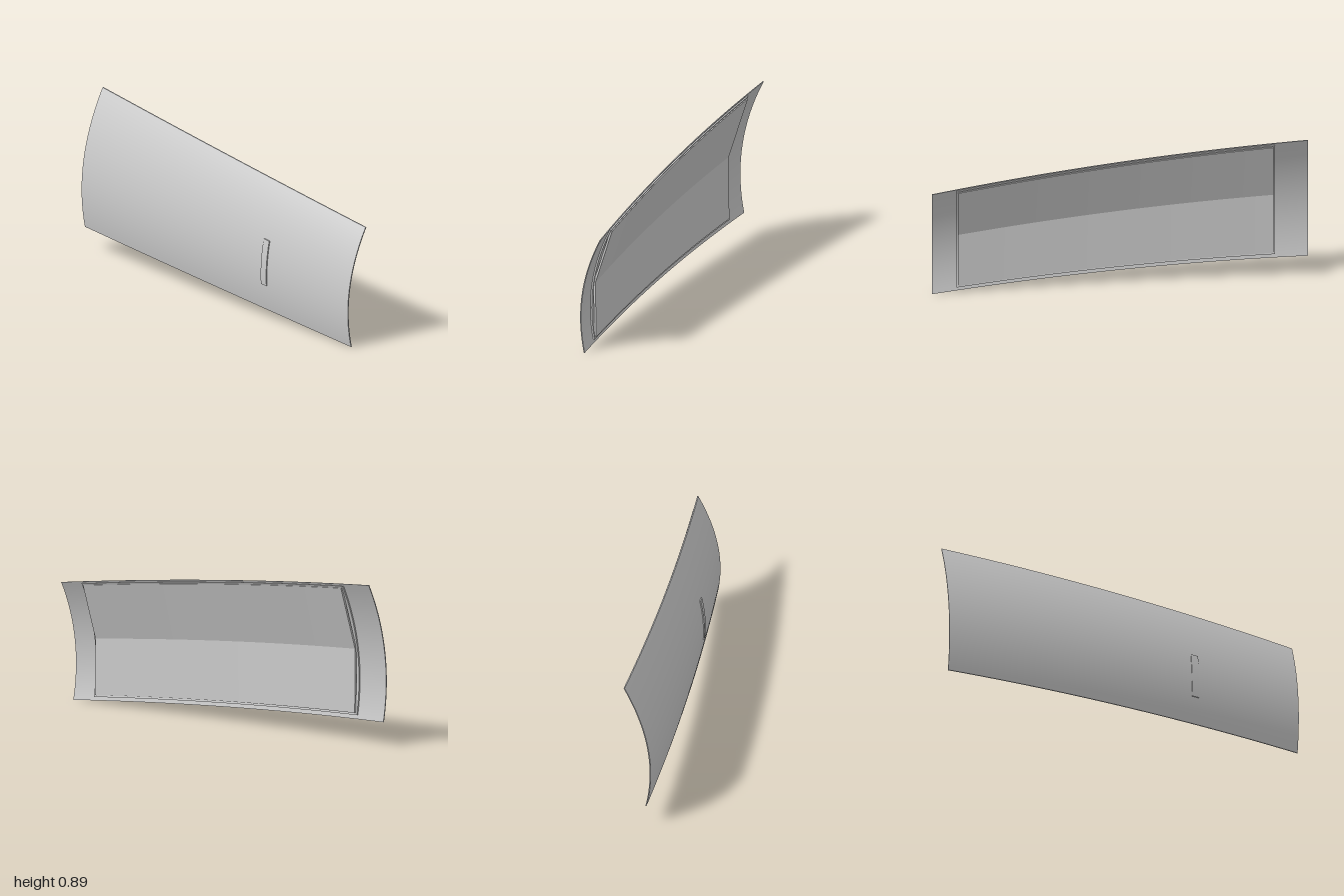
import * as THREE from 'three';
import { toCreasedNormals } from 'three/addons/utils/BufferGeometryUtils.js';

const lerp = THREE.MathUtils.lerp;

// Point on the bowed panel: z along its length, t from bottom (0) to top (1),
// off = distance inward (+x) from the outer skin.
function surfacePoint(z, t, off) {
  const u = (z + 1) / 2;              // 0 rear, 1 front
  const bow = 1 - z * z;
  const y = lerp(0.13, 0, u) + 0.015 * bow + lerp(0.765, 0.657, u) * t;
  const x = lerp(-0.134, 0.052, u) - 0.03 * bow
    + lerp(-0.162, -0.149, u) * t + lerp(0.283, 0.249, u) * t * t + off;
  return [x, y, z];
}

// A box bent onto the panel; few t segments give flat facets.
function slab(name, [z0, z1], [t0, t1], [off0, off1], nt, nz) {
  const geo = new THREE.BoxGeometry(1, 1, 1, 1, nt, nz);
  const p = geo.attributes.position;
  for (let i = 0; i < p.count; i++) {
    p.setXYZ(i, ...surfacePoint(
      lerp(z0, z1, p.getZ(i) + 0.5),
      lerp(t0, t1, p.getY(i) + 0.5),
      lerp(off0, off1, p.getX(i) + 0.5)));
  }
  const mesh = new THREE.Mesh(
    toCreasedNormals(geo, 0.12),
    new THREE.MeshStandardMaterial({ color: 0xcccccc }));
  mesh.name = name;
  return mesh;
}

export function createModel() {
  const group = new THREE.Group();
  group.name = 'curvedPanel';
  group.add(
    // Thin curved outer skin
    slab('outerSkin', [-1, 1], [0, 1], [0, 0.006], 32, 32),
    // Curved stepped frame on the inner side
    slab('innerFrame', [-0.825, 0.87], [0.03, 0.985], [0.004, 0.015], 32, 32),
    // Inner lining made of two flat facets
    slab('innerLining', [-0.815, 0.86], [0.045, 0.97], [0.01, 0.022], 2, 32),
    // Narrow raised handle on the outer side
    slab('handle', [0.38, 0.42], [0.215, 0.58], [-0.006, 0.002], 16, 1));
  return group;
}
